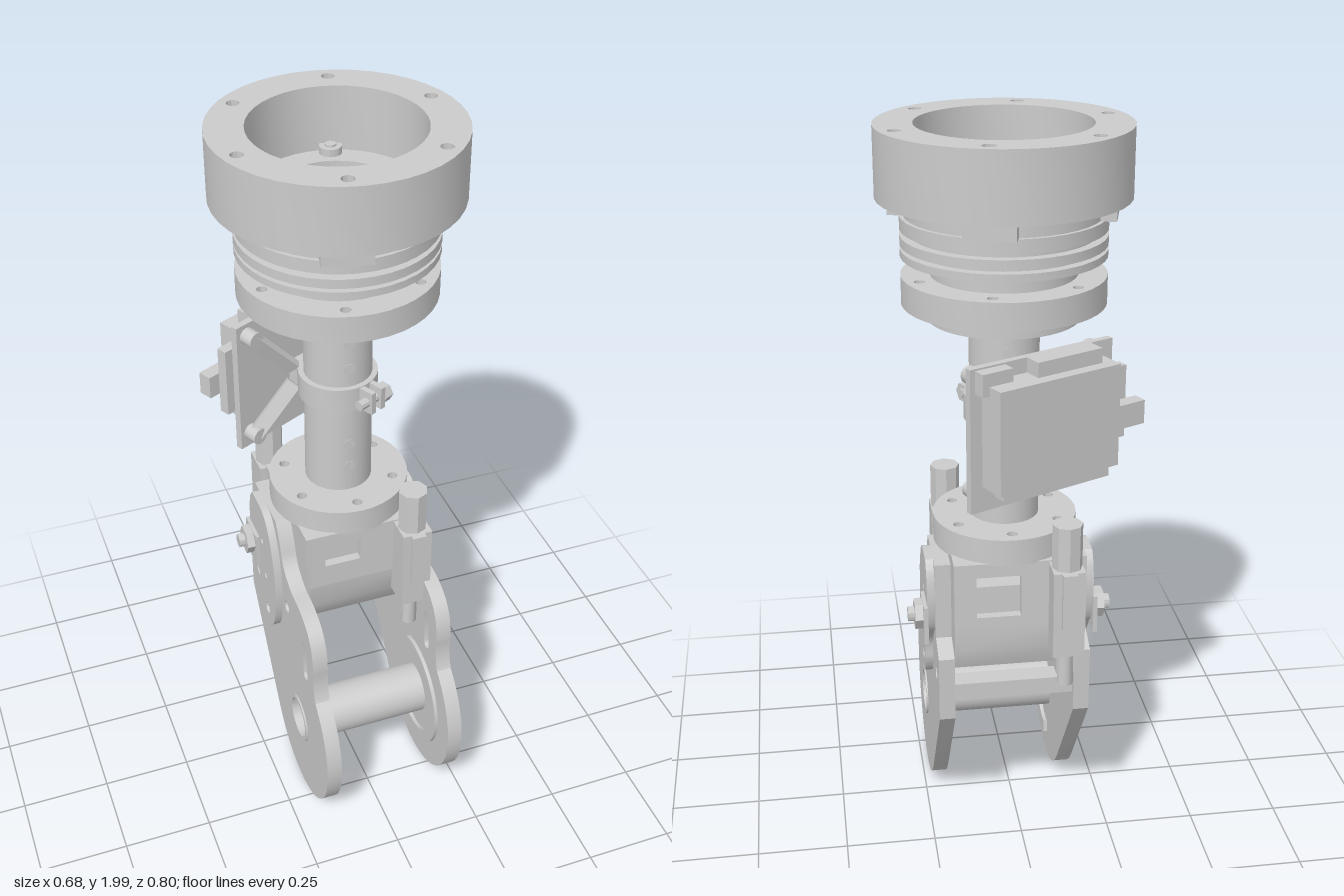
import * as THREE from 'three';
import { toCreasedNormals } from 'three/addons/utils/BufferGeometryUtils.js';

const V2 = (p) => new THREE.Vector2(p[0], p[1]);
const D = Math.PI / 180;

export function createModel() {
  const root = new THREE.Group();
  const mat = new THREE.MeshStandardMaterial({ color: 0xcccccc, side: THREE.DoubleSide });
  const CX = 0.025, CZ = -0.075; // vertical axis of the turned parts

  const group = (name, parent = root) => {
    const g = new THREE.Group();
    g.name = name;
    parent.add(g);
    return g;
  };
  const add = (parent, name, geo, x = 0, y = 0, z = 0) => {
    const m = new THREE.Mesh(toCreasedNormals(geo, 0.6), mat);
    m.name = name;
    m.position.set(x, y, z);
    parent.add(m);
    return m;
  };
  const box = (parent, name, w, h, d, x, y, z) => add(parent, name, new THREE.BoxGeometry(w, h, d), x, y, z);
  const cyl = (parent, name, r, h, x, y, z, n = 24) => add(parent, name, new THREE.CylinderGeometry(r, r, h, n), x, y, z);
  const cylX = (parent, name, r, h, x, y, z, n = 16) =>
    add(parent, name, new THREE.CylinderGeometry(r, r, h, n).rotateZ(Math.PI / 2), x, y, z);
  const hole = (x, y, r) => new THREE.Path().absarc(x, y, r, 0, Math.PI * 2, true);
  const extrude = (shape, depth) => new THREE.ExtrudeGeometry(shape, { depth, bevelEnabled: false, curveSegments: 20 });
  // side profile drawn in (z, y), given thickness along x and centred on x
  const side = (parent, name, shape, t, x) =>
    add(parent, name, extrude(shape, t).rotateY(-Math.PI / 2), x + t / 2, 0, 0);
  // flat disc with a ring of bolt holes, optionally bored
  const disc = (parent, name, rOut, rIn, y0, y1, n, rPitch, rHole, phase) => {
    const s = new THREE.Shape().absarc(0, 0, rOut, 0, Math.PI * 2);
    if (rIn) s.holes.push(hole(0, 0, rIn));
    for (let i = 0; i < n; i++) {
      const a = phase * D + (i * 2 * Math.PI) / n;
      s.holes.push(hole(Math.cos(a) * rPitch, Math.sin(a) * rPitch, rHole));
    }
    return add(parent, name, extrude(s, y1 - y0).rotateX(-Math.PI / 2), 0, y0, 0);
  };
  const lathe = (parent, name, pts) => add(parent, name, new THREE.LatheGeometry(pts.map(V2), 40));

  // --- mounting head ---
  const head = group('mountingHead');
  head.position.set(CX, 0, CZ);
  disc(head, 'topRing', 0.325, 0.225, 1.82, 2, 6, 0.285, 0.017, 15);
  lathe(head, 'groovedDrum', [
    [0.16, 1.67], [0.265, 1.67], [0.265, 1.69], [0.24, 1.69], [0.24, 1.7], [0.265, 1.7], [0.265, 1.725],
    [0.24, 1.725], [0.24, 1.74], [0.265, 1.74], [0.265, 1.775], [0.255, 1.775], [0.255, 1.825], [0.16, 1.825], [0.16, 1.67]]);
  lathe(head, 'neck', [[0.15, 1.62], [0.19, 1.62], [0.19, 1.67], [0.16, 1.67]]);
  disc(head, 'lowerFlange', 0.265, 0.16, 1.545, 1.62, 6, 0.23, 0.014, 15);
  disc(head, 'floor', 0.2, 0, 1.505, 1.546, 4, 0.153, 0.016, 45);
  for (let i = 0; i < 4; i++) {
    const a = (15 + i * 90) * D, c = Math.cos(a), s = Math.sin(a);
    const lug = box(head, 'lug', 0.05, 0.045, 0.13, c * 0.262, 1.797, s * 0.262);
    lug.rotation.y = -a;
    cyl(head, 'ledgeBolt', 0.03, 0.02, c * 0.21, 1.835, s * 0.21, 20);
    cyl(head, 'ledgeBoltHex', 0.016, 0.02, c * 0.21, 1.84, s * 0.21, 6);
    const b = (45 + i * 90) * D;
    cyl(head, 'floorBolt', 0.03, 0.015, Math.cos(b) * 0.125, 1.553, Math.sin(b) * 0.125, 6);
  }

  // --- shaft, its cross holes and the base flange ---
  const shaft = group('shaft');
  shaft.position.set(CX, 0, CZ);
  cyl(shaft, 'tube', 0.093, 0.6, 0, 1.23, 0, 28);
  for (const y of [1.43, 1.35, 1.105, 1.03])
    add(shaft, 'crossPin', new THREE.CylinderGeometry(0.016, 0.016, 0.188, 12).rotateX(Math.PI / 2), 0, y, 0);
  disc(shaft, 'baseFlange', 0.195, 0, 0.875, 0.95, 6, 0.155, 0.014, 30);

  // --- control unit, clamped behind the shaft at an angle ---
  const unit = group('controlUnit');
  unit.position.set(CX, 1.26, CZ);
  unit.rotation.y = 0.455;
  const clampShape = new THREE.Shape().absarc(0, 0, 0.108, 0, Math.PI * 2);
  clampShape.holes.push(hole(0, 0, 0.09));
  add(unit, 'clampBand', extrude(clampShape, 0.07).rotateX(-Math.PI / 2), 0, -0.035, 0);
  for (const s of [-1, 1]) box(unit, 'clampEar', 0.016, 0.065, 0.05, s * 0.018, 0, 0.125);
  cylX(unit, 'clampBolt', 0.014, 0.11, 0, 0, 0.13, 10);
  cylX(unit, 'clampNut', 0.027, 0.025, 0.038, 0, 0.13, 6);
  box(unit, 'clampPad', 0.13, 0.07, 0.03, 0, 0, -0.105);
  box(unit, 'backPlate', 0.44, 0.39, 0.02, 0, -0.005, -0.165);
  box(unit, 'case', 0.37, 0.28, 0.085, 0, 0.01, -0.215);
  box(unit, 'caseTopBlock', 0.2, 0.05, 0.05, -0.05, 0.165, -0.2);
  box(unit, 'caseCornerBlock', 0.09, 0.06, 0.04, 0.16, 0.155, -0.19);
  box(unit, 'caseFoot', 0.1, 0.04, 0.04, 0.1, -0.145, -0.2);
  box(unit, 'sideBlock', 0.06, 0.2, 0.03, -0.215, 0.02, -0.19);
  box(unit, 'connector', 0.09, 0.065, 0.04, -0.225, 0, -0.235);
  // four bracket arms
  for (const sx of [-1, 1]) for (const sy of [-1, 1]) {
    const a = new THREE.Vector3(sx * 0.07, sy * 0.025, -0.1), b = new THREE.Vector3(sx * 0.185, sy * 0.155, -0.135);
    const arm = box(unit, 'bracketArm', 0.04, 0.022, a.distanceTo(b), 0, 0, 0);
    arm.position.copy(a).lerp(b, 0.5);
    arm.quaternion.setFromUnitVectors(new THREE.Vector3(0, 0, 1), b.clone().sub(a).normalize());
    add(unit, 'armScrew', new THREE.CylinderGeometry(0.024, 0.024, 0.05, 12).rotateX(Math.PI / 2), b.x, b.y, -0.14);
  }

  // --- housing under the flange: side cheeks, windowed walls, rounded trough ---
  const housing = group('housing');
  const body = (offset) => [
    [0.11 - offset, 0.7], [0.1 - offset, 0.62], [0.06 - offset, 0.55 + offset], [0, 0.525 + offset],
    [-0.18, 0.525 + offset], [-0.24 + offset, 0.56 + offset], [-0.26 + offset, 0.62], [-0.26 + offset, 0.7]];
  side(housing, 'trough', new THREE.Shape([...body(0), ...body(0.025).reverse()].map(V2)), 0.3, CX);
  for (const s of [-1, 1])
    side(housing, 'cheek', new THREE.Shape([...body(0), [-0.26, 0.88], [0.11, 0.88]].map(V2)), 0.02, CX + s * 0.15);
  const wall = (name, x0, x1, y0, y1, z) => {
    const s = new THREE.Shape([[-0.15, 0.7], [0.15, 0.7], [0.15, 0.88], [-0.15, 0.88]].map(V2));
    s.holes.push(new THREE.Path([[x0, y0], [x0, y1], [x1, y1], [x1, y0]].map(V2)));
    add(housing, name, extrude(s, 0.025), CX, 0, z);
  };
  wall('frontWall', -0.105, 0, 0.77, 0.84, 0.085);
  wall('rearWall', -0.02, 0.1, 0.72, 0.84, -0.26);
  box(housing, 'topPlate', 0.3, 0.02, 0.36, CX, 0.87, CZ);
  box(housing, 'innerBlock', 0.2, 0.2, 0.1, CX, 0.64, CZ);

  // --- two latch posts on opposite corners ---
  for (const [x, z, out] of [[0.165, 0.14, 1], [-0.112, -0.29, -1]]) {
    const post = group('latchPost');
    post.position.set(x, 0, z);
    cyl(post, 'knob', 0.041, 0.13, 0, 0.935, 0, 8);
    cyl(post, 'pin', 0.022, 0.4, 0, 0.72, 0, 12);
    box(post, 'guide', 0.085, 0.25, 0.09, 0, 0.75, 0);
    box(post, 'guideRib', 0.04, 0.16, 0.02, 0, 0.795, out * 0.05);
    box(post, 'guideFoot', 0.05, 0.1, 0.05, 0, 0.6, -out * 0.02);
  }

  // --- fork: two side plates, cover plates and pivots ---
  const plate = new THREE.Shape();
  plate.moveTo(-0.035, 0.1);
  plate.lineTo(-0.275, 0.42);
  plate.lineTo(-0.28, 0.61);
  plate.lineTo(-0.21, 0.64);
  plate.lineTo(-0.21, 0.86);
  plate.lineTo(-0.02, 0.86);
  plate.quadraticCurveTo(0.01, 0.82, 0.025, 0.77);
  plate.quadraticCurveTo(0.045, 0.715, 0.12, 0.7);
  plate.bezierCurveTo(0.23, 0.7, 0.29, 0.66, 0.29, 0.55);
  plate.quadraticCurveTo(0.285, 0.49, 0.305, 0.447);
  plate.absarc(0.16, 0.25, 0.245, 53 * D, -142 * D, true);
  const slot = new THREE.Path();
  slot.absarc(0.222, 0.485, 0.016, 0, Math.PI, true);
  slot.absarc(0.215, 0.585, 0.016, Math.PI, 0, true);
  plate.holes.push(hole(0.16, 0.25, 0.066), hole(0.065, 0.61, 0.018), hole(-0.205, 0.53, 0.02), slot);

  const cover = new THREE.Shape();
  cover.moveTo(-0.055, 0.455);
  cover.bezierCurveTo(0, 0.46, 0.03, 0.54, 0.025, 0.64);
  cover.bezierCurveTo(0.02, 0.76, -0.03, 0.86, -0.1, 0.86);
  cover.lineTo(-0.17, 0.86);
  cover.bezierCurveTo(-0.215, 0.83, -0.215, 0.7, -0.18, 0.65);
  cover.bezierCurveTo(-0.1, 0.58, -0.12, 0.56, -0.115, 0.52);
  cover.quadraticCurveTo(-0.1, 0.46, -0.055, 0.455);
  cover.holes.push(hole(-0.055, 0.51, 0.018), hole(-0.065, 0.63, 0.01), hole(-0.09, 0.74, 0.01));

  // raised arc around the pivot on the inner faces
  const arc = new THREE.Shape();
  arc.absarc(0.16, 0.25, 0.17, -100 * D, 110 * D);
  arc.absarc(0.16, 0.25, 0.135, 110 * D, -100 * D, true);

  const fork = group('fork');
  for (const s of [-1, 1]) {
    const arm = group(s > 0 ? 'leftArm' : 'rightArm', fork);
    side(arm, 'sidePlate', plate, 0.043, CX + s * 0.185);
    side(arm, 'coverPlate', cover, 0.022, CX + s * 0.217);
    side(arm, 'innerArc', arc, 0.012, CX + s * 0.159);
    box(arm, 'pivotPad', 0.012, 0.11, 0.1, CX + s * 0.232, 0.68, -0.165);
    cylX(arm, 'pivotNut', 0.042, 0.03, CX + s * 0.245, 0.695, -0.165, 6);
    cylX(arm, 'pivotBolt', 0.02, 0.09, CX + s * 0.233, 0.695, -0.165, 12);
  }
  // hollow spacer tube and rear crossbar
  const ring = new THREE.Shape().absarc(0.16, 0.25, 0.073, 0, Math.PI * 2);
  ring.holes.push(hole(0.16, 0.25, 0.06));
  side(fork, 'spacerTube', ring, 0.422, CX);
  box(fork, 'crossbar', 0.34, 0.05, 0.06, CX, 0.49, -0.225);

  return root;
}
